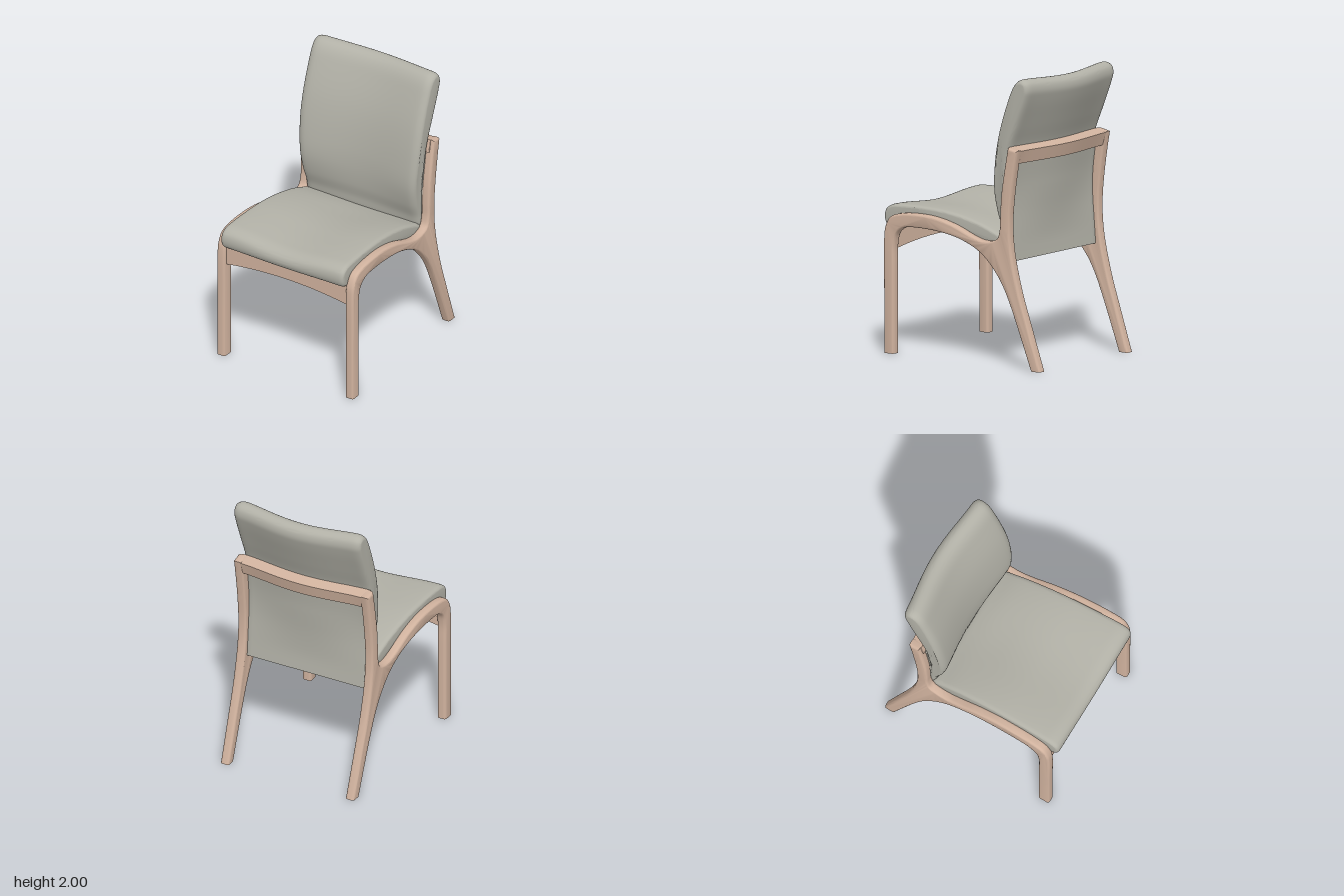
import * as THREE from 'three';
import { toCreasedNormals } from 'three/addons/utils/BufferGeometryUtils.js';

const wood = new THREE.MeshStandardMaterial({ color: 0xd0b29e });
wood.name = 'pale wood';
const fabric = new THREE.MeshStandardMaterial({ color: 0xb2b1a7 });
fabric.name = 'grey upholstery';

// Smooth run through [z, y] points
function run(points, closed = false) {
  const pts = points.map(([z, y]) => new THREE.Vector3(-z, y, 0));
  return new THREE.CatmullRomCurve3(pts, closed, 'centripetal')
    .getPoints(points.length * 5)
    .map((p) => new THREE.Vector2(p.x, p.y));
}

// Side profile spread across x with rounded flanks, then bent by a rule
function slab(name, outline, half, bevel, steps, material, rule) {
  const depth = 2 * (half - bevel.thickness);
  const geo = new THREE.ExtrudeGeometry(new THREE.Shape(outline), {
    depth, steps, bevelEnabled: true, bevelThickness: bevel.thickness,
    bevelSize: bevel.size, bevelOffset: -bevel.size, bevelSegments: 5,
  });
  geo.translate(0, 0, -depth / 2);
  geo.rotateY(Math.PI / 2);
  const pos = geo.attributes.position;
  const v = new THREE.Vector3();
  for (let i = 0; i < pos.count; i++) {
    rule(v.fromBufferAttribute(pos, i));
    pos.setXYZ(i, v.x, v.y, v.z);
  }
  const mesh = new THREE.Mesh(toCreasedNormals(geo, 0.65), material);
  mesh.name = name;
  return mesh;
}

// The side frames converge slightly towards the back
const frameX = (z) => 0.525 + (z - 0.6) * 0.031;
// Backward bow of the backrest, strongest at the centre and fading out at the foot
const bow = (x, y) => 0.044 * Math.cos(Math.min(1, Math.abs(x) / 0.45) * Math.PI / 2) ** 1.4
  * THREE.MathUtils.smoothstep(y, 0.8, 1.25);

// Front leg, seat arm, rear leg and back post in one piece
function sideFrame(side) {
  const outline = [
    ...run([[0.64, -0.04], [0.64, 0.4], [0.64, 0.8], [0.628, 0.88], [0.59, 0.945], [0.52, 0.973],
      [0.35, 0.987], [0.2, 0.977], [0.05, 0.942], [-0.1, 0.885], [-0.18, 0.863], [-0.26, 0.865],
      [-0.315, 0.89], [-0.335, 0.95], [-0.34, 1.05], [-0.35, 1.2], [-0.375, 1.36], [-0.405, 1.525]]),
    ...run([[-0.485, 1.51], [-0.465, 1.4], [-0.435, 1.2], [-0.42, 1.02], [-0.43, 0.83],
      [-0.49, 0.56], [-0.59, 0.26], [-0.68, 0], [-0.694, -0.04]]),
    ...run([[-0.616, -0.04], [-0.6, 0], [-0.445, 0.39], [-0.38, 0.53], [-0.31, 0.64], [-0.18, 0.77],
      [-0.02, 0.845], [0.16, 0.882], [0.38, 0.892], [0.47, 0.882], [0.53, 0.84], [0.553, 0.76],
      [0.555, 0.6], [0.555, -0.04]]),
  ];
  return slab(side > 0 ? 'leftSideFrame' : 'rightSideFrame', outline, 0.033,
    { thickness: 0.02, size: 0.016 }, 1, wood, (p) => {
      // flat feet, slid up along the leg
      if (p.y < 0) {
        if (p.z < 0) p.z -= p.y * 0.35;
        p.y = 0;
      }
      p.x += side * frameX(p.z);
    });
}

// Seat cushion: waterfall front edge and slightly dished top
function seat() {
  const outline = run([[0.682, 0.94], [0.668, 0.99], [0.62, 1.02], [0.52, 1.03], [0.35, 1.032],
    [0.2, 1.026], [0.03, 1.003], [-0.14, 0.962], [-0.25, 0.922], [-0.325, 0.885], [-0.34, 0.85],
    [-0.3, 0.825], [-0.2, 0.83], [-0.1, 0.858], [0.05, 0.9], [0.25, 0.92], [0.45, 0.915],
    [0.57, 0.89], [0.635, 0.868], [0.67, 0.89]], true);
  return slab('seatCushion', outline, 0.5, { thickness: 0.035, size: 0.02 }, 24, fabric, (p) => {
    const dish = Math.cos(Math.min(1, Math.abs(p.x) / 0.46) * Math.PI / 2) ** 2;
    p.y -= dish * (0.006 + 0.024 * THREE.MathUtils.smoothstep(p.y, 0.88, 1));
    p.x *= 1 + (p.z - 0.6) * 0.062;
  });
}

// Backrest cushion: leaning, bowed and narrowing between the posts
function backrest() {
  const outline = run([[-0.325, 0.86], [-0.298, 0.95], [-0.262, 1.05], [-0.236, 1.2], [-0.25, 1.4],
    [-0.295, 1.63], [-0.365, 1.84], [-0.415, 1.95], [-0.455, 1.99], [-0.5, 2.0], [-0.54, 1.975],
    [-0.552, 1.925], [-0.535, 1.86], [-0.46, 1.67], [-0.39, 1.49], [-0.365, 1.3], [-0.36, 1.1],
    [-0.37, 0.95], [-0.385, 0.86]], true);
  return slab('backrestCushion', outline, 0.492, { thickness: 0.06, size: 0.03 }, 28, fabric, (p) => {
    const b = bow(p.x, p.y);
    p.z -= b;
    p.y -= b * 0.35 * THREE.MathUtils.smoothstep(p.y, 1.5, 2);
    p.x *= 0.945 + 0.055 * THREE.MathUtils.smoothstep(p.y, 0.95, 1.55);
  });
}

// Upholstered panel closing the back between the posts
function backPanel() {
  const outline = [
    ...run([[-0.38, 0.73], [-0.365, 0.9], [-0.35, 1.1], [-0.355, 1.25], [-0.385, 1.48]]),
    ...run([[-0.41, 1.48], [-0.378, 1.25], [-0.374, 1.1], [-0.388, 0.9], [-0.402, 0.73]]),
  ];
  return slab('backPanel', outline, 0.47, { thickness: 0.003, size: 0.003 }, 24, fabric, (p) => {
    p.z -= bow(p.x, p.y);
  });
}

// Curved rail joining the tops of the posts
function topRail() {
  const outline = [[-0.4, 1.527], [-0.484, 1.505], [-0.46, 1.415], [-0.38, 1.435]]
    .map(([z, y]) => new THREE.Vector2(-z, y));
  return slab('topRail', outline, 0.5, { thickness: 0.004, size: 0.004 }, 24, wood, (p) => {
    p.z -= bow(p.x, p.y);
  });
}

// Arched apron between the front legs
function frontApron() {
  const shape = new THREE.Shape();
  shape.moveTo(-0.5, 0.9);
  shape.lineTo(-0.5, 0.72);
  shape.quadraticCurveTo(0, 0.803, 0.5, 0.72);
  shape.lineTo(0.5, 0.9);
  const geo = new THREE.ExtrudeGeometry(shape, { depth: 0.045, bevelEnabled: false, curveSegments: 24 });
  const mesh = new THREE.Mesh(geo, wood);
  mesh.position.z = 0.575;
  mesh.name = 'frontApron';
  return mesh;
}

export function createModel() {
  const group = new THREE.Group();
  group.name = 'diningChair';
  group.add(sideFrame(1), sideFrame(-1), seat(), backrest(), backPanel(), topRail(), frontApron());
  // Cross rail under the back of the seat, in front of the panel
  const rearRail = new THREE.Mesh(new THREE.BoxGeometry(0.94, 0.125, 0.06), wood);
  rearRail.position.set(0, 0.7875, -0.345);
  rearRail.name = 'rearSeatRail';
  group.add(rearRail);
  return group;
}
